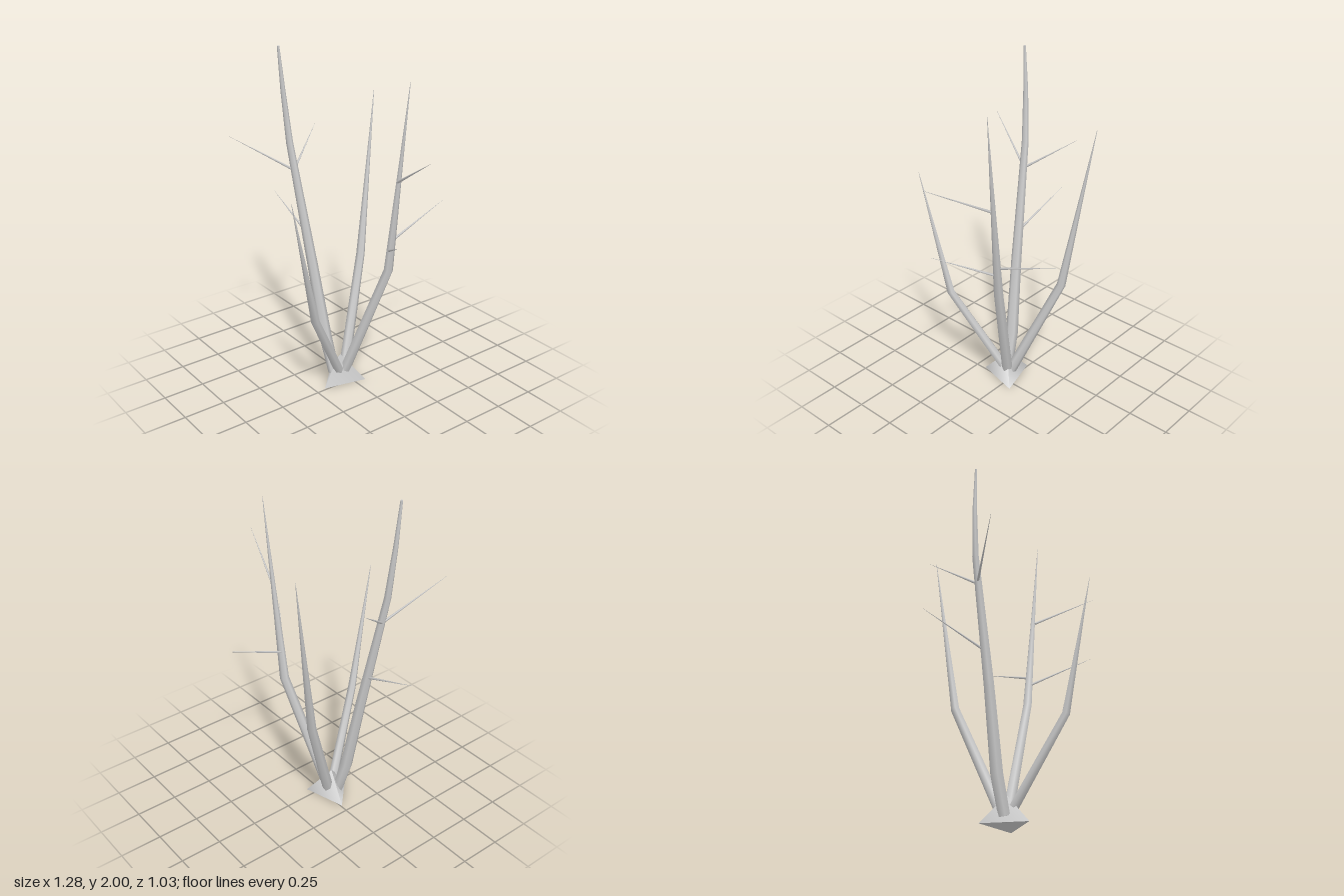
import * as THREE from 'three';

const material = new THREE.MeshStandardMaterial({ color: 0xcccccc, side: THREE.DoubleSide });

// Tapered branch swept through nodes [x, y, z, radius], with mitred rings and end caps.
function branch(name, nodes, sides) {
  const pts = nodes.map(([x, y, z]) => new THREE.Vector3(x, y, z));
  const pos = [];
  const idx = [];
  const last = pts.length - 1;
  pts.forEach((p, i) => {
    const dir = new THREE.Vector3();
    if (i > 0) dir.add(p.clone().sub(pts[i - 1]).normalize());
    if (i < last) dir.add(pts[i + 1].clone().sub(p).normalize());
    dir.normalize();
    // Reference axis keeps the rings aligned along the branch
    const u = new THREE.Vector3(0, 0, 1).cross(dir);
    if (u.lengthSq() < 0.05) u.set(1, 0, 0).cross(dir);
    u.normalize();
    const v = dir.clone().cross(u);
    for (let s = 0; s < sides; s++) {
      const a = (s / sides) * Math.PI * 2;
      const q = p.clone()
        .addScaledVector(u, Math.cos(a) * nodes[i][3])
        .addScaledVector(v, Math.sin(a) * nodes[i][3]);
      pos.push(q.x, q.y, q.z);
    }
  });
  for (let i = 0; i < last; i++) {
    for (let s = 0; s < sides; s++) {
      const a = i * sides + s;
      const b = i * sides + ((s + 1) % sides);
      idx.push(a, b, b + sides, a, b + sides, a + sides);
    }
  }
  // Caps use their own vertices so the ends stay crisp
  for (const [ring, flip] of [[0, true], [last, false]]) {
    const start = pos.length / 3;
    for (let k = 0; k < sides * 3; k++) pos.push(pos[ring * sides * 3 + k]);
    for (let s = 1; s < sides - 1; s++) {
      if (flip) idx.push(start, start + s + 1, start + s);
      else idx.push(start, start + s, start + s + 1);
    }
  }
  const geo = new THREE.BufferGeometry();
  geo.setAttribute('position', new THREE.Float32BufferAttribute(pos, 3));
  geo.setIndex(idx);
  geo.computeVertexNormals();
  const mesh = new THREE.Mesh(geo, material);
  mesh.name = name;
  return mesh;
}

export function createModel() {
  const group = new THREE.Group();
  group.name = 'bareShrub';

  // Three-sided root mound: a pointed cone, open underneath
  const height = 0.165;
  const mound = new THREE.Mesh(
    new THREE.ConeGeometry(0.152, height, 3, 1, true, THREE.MathUtils.degToRad(16)),
    material
  );
  mound.position.set(-0.054, height / 2, 0.044);
  mound.name = 'rootMound';
  group.add(mound);

  // Main stems, rooted inside the mound
  const stems = {
    rightStem: [[-0.085, 0.04, 0.07, 0.034], [-0.143, 0.25, 0.085, 0.037], [-0.22, 0.72, 0.12, 0.031],
      [-0.353, 1.45, 0.172, 0.02], [-0.376, 1.75, 0.192, 0.014], [-0.384, 2.0, 0.21, 0.007]],
    leftStem: [[-0.04, 0.04, 0.03, 0.033], [0.198, 0.78, -0.112, 0.027], [0.312, 1.885, -0.145, 0.001]],
    backStem: [[-0.055, 0.05, 0.015, 0.033], [-0.215, 0.7, -0.232, 0.026], [-0.285, 1.69, -0.382, 0.001]],
    frontStem: [[-0.045, 0.05, 0.055, 0.029], [0.12, 0.565, 0.345, 0.024], [0.174, 1.325, 0.518, 0.001]],
  };
  for (const [name, nodes] of Object.entries(stems)) group.add(branch(name, nodes, 6));

  // Thin side twigs: root point, tip point
  const twigs = [
    [[0.262, 1.328, -0.116], [0.64, 1.56, -0.01]],
    [[0.21, 0.905, -0.105], [0.515, 1.08, 0.09]],
    [[0.205, 0.955, -0.12], [0.197, 1.11, -0.51]],
    [[-0.26, 0.915, 0.13], [-0.635, 1.065, 0.11]],
    [[-0.33, 1.29, 0.16], [-0.463, 1.52, 0.495]],
    [[-0.33, 1.29, 0.16], [-0.488, 1.485, -0.1]],
  ];
  twigs.forEach(([root, tip], i) => {
    group.add(branch(`twig${i + 1}`, [[...root, 0.008], [...tip, 0.0005]], 5));
  });

  return group;
}
